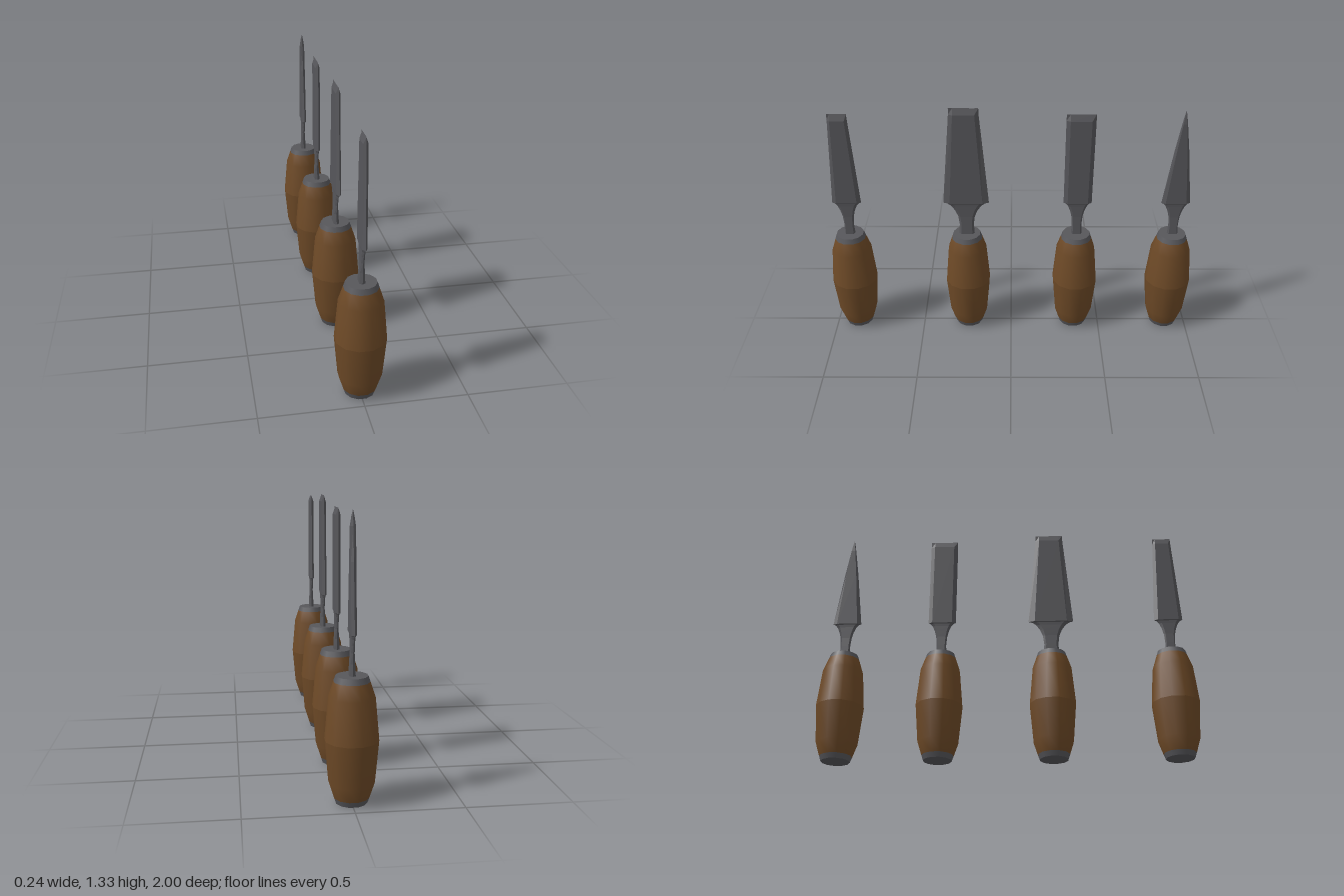
import * as THREE from 'three';

const wood = new THREE.MeshStandardMaterial({ color: 0x6e4a27 });
wood.name = 'brown wood';
const steel = new THREE.MeshStandardMaterial({ color: 0x57575b });
steel.name = 'grey steel';

const SIDES = 12;

// Turned part from [radius, y] pairs, with flat sides facing the axes
function turned(name, material, points) {
  const profile = points.map(([r, y]) => new THREE.Vector2(r, y));
  const geometry = new THREE.LatheGeometry(profile, SIDES, Math.PI / SIDES);
  const mesh = new THREE.Mesh(geometry, material);
  mesh.name = name;
  return mesh;
}

// Blade lofted through bevelled six-sided sections: [y, half width, half thickness]
function blade(sections) {
  const ring = ([y, w, t]) => [
    [0, y, w], [t, y, w * 0.72], [t, y, -w * 0.72],
    [0, y, -w], [-t, y, -w * 0.72], [-t, y, w * 0.72],
  ];
  const rings = sections.map(ring);
  const pos = [];
  for (let i = 0; i < rings.length - 1; i++) {
    for (let j = 0; j < 6; j++) {
      const k = (j + 1) % 6;
      const a = rings[i][j], b = rings[i][k], c = rings[i + 1][k], d = rings[i + 1][j];
      pos.push(...a, ...b, ...c, ...a, ...c, ...d);
    }
  }
  const geometry = new THREE.BufferGeometry();
  geometry.setAttribute('position', new THREE.Float32BufferAttribute(pos, 3));
  geometry.computeVertexNormals();
  const mesh = new THREE.Mesh(geometry, steel);
  mesh.name = 'blade';
  return mesh;
}

function handle() {
  const group = new THREE.Group();
  group.name = 'handle';
  group.add(
    turned('lowerGrip', wood, [[0.083, 0.03], [0.106, 0.1], [0.124, 0.3]]),
    turned('upperGrip', wood, [[0.124, 0.3], [0.106, 0.5], [0.083, 0.568]]),
    turned('buttCapSide', steel, [[0.074, 0.004], [0.084, 0.034]]),
    turned('buttCapEnd', steel, [[0, 0], [0.074, 0.004]]),
    turned('collarSide', steel, [[0.084, 0.565], [0.074, 0.595]]),
    turned('collarTop', steel, [[0.074, 0.595], [0, 0.595]]),
    turned('collarUnderside', steel, [[0.07, 0.565], [0.084, 0.565]]),
  );
  return group;
}

// Flared neck running from the collar into the shoulder of the blade
function neck(n, w) {
  const flare = (f) => n + (w - n) * f;
  return [
    [0.59, n * 1.12, 0.014], [0.65, n, 0.011], [0.7, flare(0.08), 0.008],
    [0.735, flare(0.25), 0.008], [0.765, flare(0.5), 0.008],
    [0.78, flare(0.75), 0.009], [0.785, w, 0.012],
  ];
}

// Square-ended blade with its cutting edge ground to a line
const chisel = (n, w, topW, top) => [
  ...neck(n, w), [top - 0.035, topW + 0.001, 0.012], [top, topW, 0.0005],
];

// Pointed blade
const spike = (n, w, top) => [
  ...neck(n, w), [1.1, 0.037, 0.012], [1.25, 0.014, 0.012],
  [1.295, 0.006, 0.006], [top, 0.0005, 0.0005],
];

export function createModel() {
  const model = new THREE.Group();
  model.name = 'chiselSet';
  const tools = [
    ['narrowChisel', 0.878, chisel(0.026, 0.077, 0.05, 1.3)],
    ['wideChisel', 0.24, chisel(0.038, 0.122, 0.076, 1.333)],
    ['straightChisel', -0.355, chisel(0.026, 0.075, 0.075, 1.3)],
    ['pointedTool', -0.878, spike(0.026, 0.077, 1.32)],
  ];
  for (const [name, z, sections] of tools) {
    const tool = new THREE.Group();
    tool.name = name;
    tool.position.z = z;
    tool.add(handle(), blade(sections));
    model.add(tool);
  }
  return model;
}
